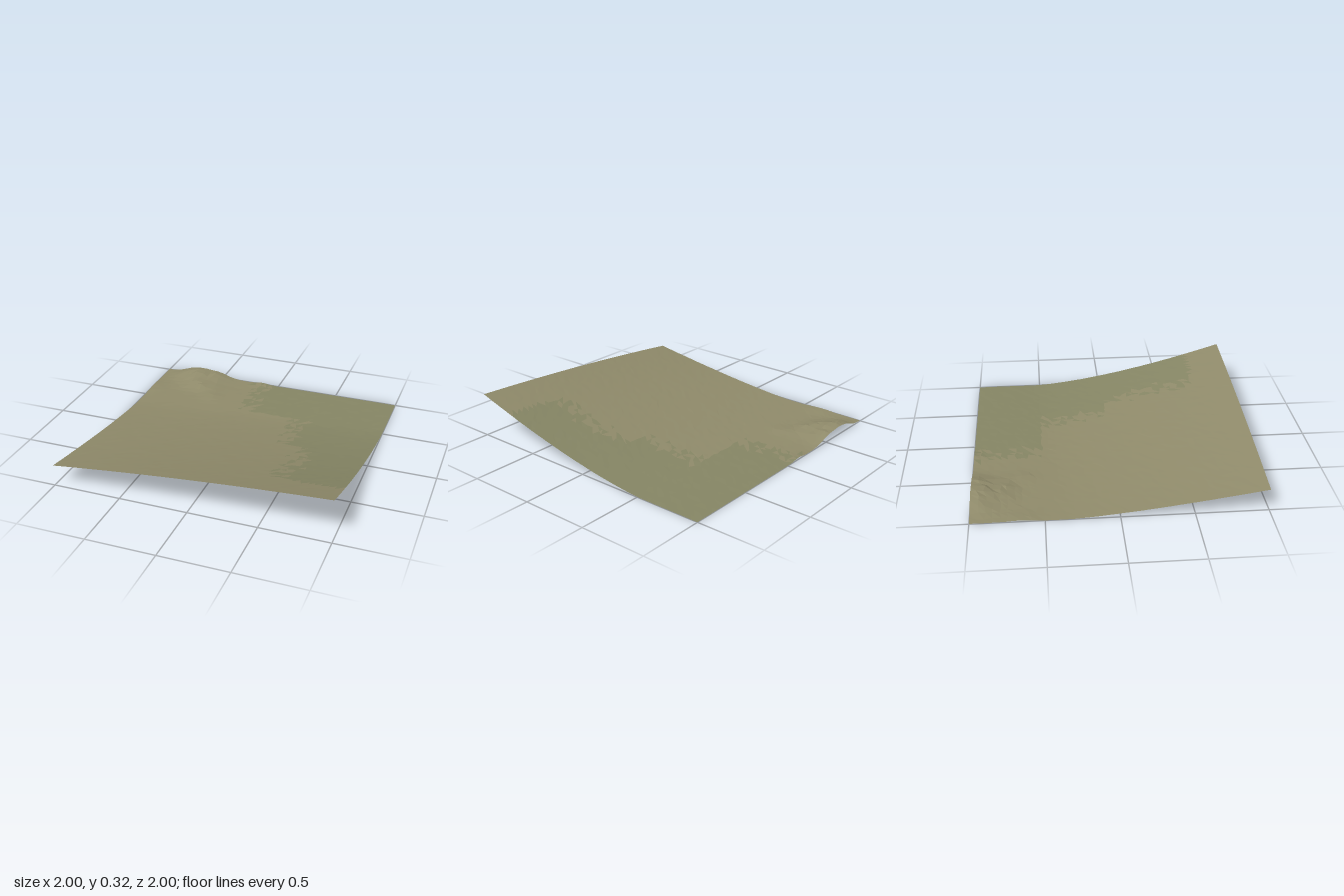
import * as THREE from 'three';

const SEGMENTS = 40;

// Repeatable noise in -1..1 for a grid point
function noise(x, z, seed = 0) {
  const s = Math.sin(x * 127.1 + z * 311.7 + seed * 74.7) * 43758.5453;
  return 2 * (s - Math.floor(s)) - 1;
}

// Rocky mounds: centre x, centre z, radius x, radius z, height
const MOUNDS = [
  [-0.70, -0.95, 0.16, 0.13, 0.070],
  [-0.51, -1.00, 0.10, 0.12, 0.030],
  [-0.60, -0.77, 0.15, 0.08, 0.026],
  [-0.47, -0.64, 0.08, 0.07, 0.012],
  [-0.14, -1.00, 0.07, 0.06, 0.012],
  [-0.97, -0.66, 0.08, 0.12, 0.010],
];

// Smooth slope rising to the front, higher on the left
function slopeHeight(x, z) {
  const u = (x + 1) / 2;
  const rim = 0.16 + 0.235 * u - 0.07 * u * u;
  const start = THREE.MathUtils.lerp(-0.35, -0.55, u);
  const t = Math.max(0, (z - start) / (1 - start));
  return rim * Math.pow(t, THREE.MathUtils.lerp(1.32, 1.5, u));
}

function moundHeight(x, z) {
  return MOUNDS.reduce((sum, [cx, cz, rx, rz, h]) =>
    sum + h * Math.exp(-(((x - cx) / rx) ** 2) - ((z - cz) / rz) ** 2), 0);
}

// Greener ground lies along the left side and the left half of the back
function isGrass(x, z) {
  if (z > 0.72) return false;
  const edge = z < -0.5 ? -0.12 : z < 0 ? 0.36 : 0.55;
  return x + 0.1 * noise(x, z, 3) > edge;
}

// One flat-shaded piece of ground from a list of triangle corners
function ground(name, positions, color) {
  const geometry = new THREE.BufferGeometry();
  geometry.setAttribute('position', new THREE.Float32BufferAttribute(positions, 3));
  geometry.computeVertexNormals();
  const material = new THREE.MeshStandardMaterial({ color, flatShading: true, side: THREE.DoubleSide });
  const mesh = new THREE.Mesh(geometry, material);
  mesh.name = name;
  return mesh;
}

export function createModel() {
  const group = new THREE.Group();
  group.name = 'terrain';

  // Displaced grid, with inner points nudged for an irregular mesh
  const plane = new THREE.PlaneGeometry(2, 2, SEGMENTS, SEGMENTS).rotateX(-Math.PI / 2);
  const p = plane.attributes.position;
  for (let i = 0; i < p.count; i++) {
    let x = p.getX(i), z = p.getZ(i);
    const dx = 0.014 * noise(x, z, 1), dz = 0.014 * noise(x, z, 2);
    if (Math.abs(x) < 0.99) x += dx;
    if (Math.abs(z) < 0.99) z += dz;
    const mound = moundHeight(x, z) * (1 + 0.14 * noise(x, z, 4));
    const grain = 0.0006 * (1 + noise(x, z, 5));
    p.setXYZ(i, x, slopeHeight(x, z) + mound + (z < 0.95 ? grain : 0), z);
  }

  // Sort the triangles into the two kinds of ground
  const flat = plane.toNonIndexed().attributes.position;
  const earth = [], grass = [];
  for (let i = 0; i < flat.count; i += 3) {
    const x = (flat.getX(i) + flat.getX(i + 1) + flat.getX(i + 2)) / 3;
    const z = (flat.getZ(i) + flat.getZ(i + 1) + flat.getZ(i + 2)) / 3;
    const target = isGrass(x, z) ? grass : earth;
    for (let k = i; k < i + 3; k++) target.push(flat.getX(k), flat.getY(k), flat.getZ(k));
  }

  group.add(ground('earthGround', earth, 0x8f8a6a), ground('grassGround', grass, 0x858564));
  return group;
}
